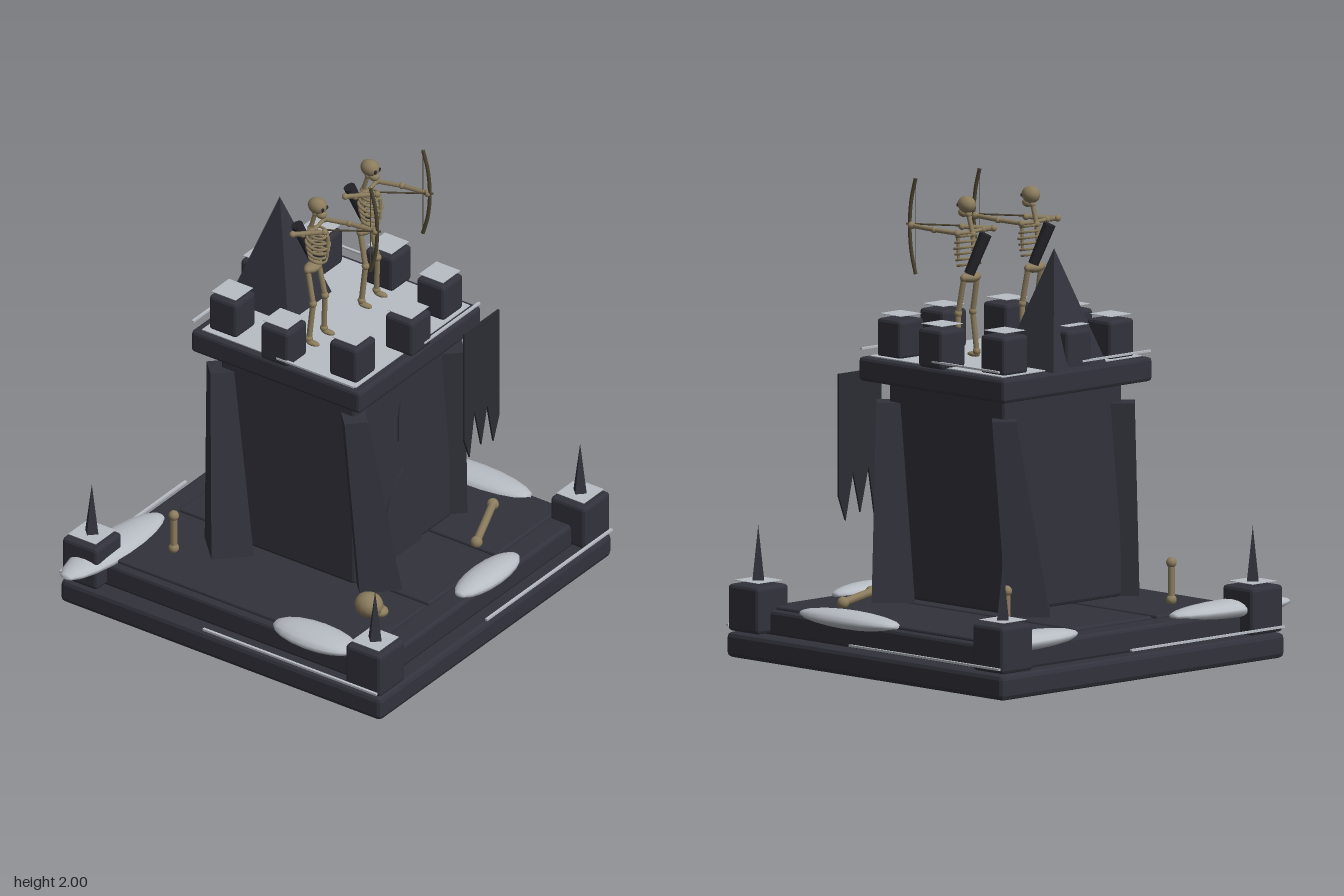
import * as THREE from 'three';
import { RoundedBoxGeometry } from 'three/addons/geometries/RoundedBoxGeometry.js';

const mat = (name, color, side = THREE.FrontSide) => {
  const m = new THREE.MeshStandardMaterial({ color, side });
  m.name = name;
  return m;
};
const V = (x, y, z) => new THREE.Vector3(x, y, z);

export function createModel() {
  const stone = mat('dark stone', 0x32323c);
  const snow = mat('snow', 0xb8bdc4);
  const bone = mat('old bone', 0x8c7d5e);
  const leather = mat('black leather', 0x24242a);
  const wood = mat('bow wood', 0x4c4530);
  const cloth = mat('banner cloth', 0x2c2c34, THREE.DoubleSide);

  const model = new THREE.Group();
  model.name = 'ruinedWatchtower';
  const keep = new THREE.Group();
  keep.name = 'keep';
  keep.position.x = 0.053;
  model.add(keep);

  const add = (parent, name, geo, material, x = 0, y = 0, z = 0) => {
    const mesh = new THREE.Mesh(geo, material);
    mesh.name = name;
    mesh.position.set(x, y, z);
    parent.add(mesh);
    return mesh;
  };
  const flat = (geo) => {
    const g = geo.index ? geo.toNonIndexed() : geo;
    g.computeVertexNormals();
    return g;
  };
  // Box with chamfered edges, standing on y0
  const block = (name, w, y0, y1, d, x = 0, z = 0, bevel = 0.014) =>
    add(keep, name, flat(new RoundedBoxGeometry(w, y1 - y0, d, 1, bevel)), stone, x, (y0 + y1) / 2, z);
  const slab = (name, w, h, d, material, x, y, z) =>
    add(keep, name, new THREE.BoxGeometry(w, h, d), material, x, y, z);
  // Straight rod between two points
  const rod = (parent, name, a, b, r0, r1, material, sides = 8) => {
    const dir = b.clone().sub(a);
    const m = add(parent, name, new THREE.CylinderGeometry(r1, r0, dir.length(), sides), material);
    m.position.copy(a).add(b).multiplyScalar(0.5);
    m.quaternion.setFromUnitVectors(V(0, 1, 0), dir.normalize());
    return m;
  };
  const ball = (parent, name, r, p, s = [1, 1, 1], material = bone) => {
    const m = add(parent, name, new THREE.SphereGeometry(r, 12, 8), material, p.x, p.y, p.z);
    m.scale.set(...s);
    return m;
  };

  // Stepped base with floor planks
  block('baseSlab', 1.625, 0, 0.105, 1.625, 0, 0, 0.02);
  block('upperSlab', 1.47, 0.1, 0.205, 1.47);
  for (const i of [-1, 0, 1]) block('floorSlab', 0.45, 0.19, 0.218, 1.27, i * 0.475, 0, 0.008);

  // Corner posts with spikes and snow caps
  for (const sx of [-1, 1]) for (const sz of [-1, 1]) {
    const x = sx * 0.718, z = sz * 0.718;
    block('cornerPost', 0.178, 0.11, 0.305, 0.178, x, z);
    add(keep, 'postSpike', flat(new THREE.ConeGeometry(0.036, 0.245, 4)), stone, x, 0.427, z);
    slab('postSnowCap', 0.14, 0.002, 0.14, snow, x, 0.32, z);
  }

  // Tower body, ledge and snowy roof deck
  block('towerBody', 0.68, 0.255, 1.15, 0.68);
  block('towerLedge', 0.855, 1.15, 1.25, 0.855);
  slab('roofSnow', 0.8, 0.004, 0.78, snow, 0, 1.254, 0);

  // Battlements
  const o = 0.305, m = 0.366;
  for (const [x, z] of [[-o, -o], [o, -o], [-o, o], [o, o], [-m, 0], [m, 0], [0, m], [0, -m]]) {
    block('merlon', 0.14, 1.25, 1.412, 0.14, x, z);
    slab('merlonSnowCap', 0.122, 0.002, 0.122, snow, x, 1.43, z);
  }

  // Square spire at the rear of the deck
  const spire = add(keep, 'spire', flat(new THREE.ConeGeometry(0.219, 0.485, 4)), stone, 0, 1.492, -0.285);
  spire.rotation.y = Math.PI / 4;

  // Leaning buttresses and snow ridges, repeated around the tower
  for (let i = 0; i < 4; i++) {
    const side = new THREE.Group();
    side.name = 'towerSide';
    side.rotation.y = i * Math.PI / 2;
    keep.add(side);
    const g = new THREE.CylinderGeometry(0.07, 0.125, 0.81, 4);
    const p = g.attributes.position;
    for (let k = 0; k < p.count; k++) {
      const t = 0.5 - p.getY(k) / 0.81;
      p.setX(k, p.getX(k) - 0.34 + 0.085 * t);
      p.setZ(k, p.getZ(k) + 0.34 + 0.055 * t);
    }
    add(side, 'buttress', flat(g), stone, 0, 0.66, 0);
    add(side, 'baseSnowRidge', new THREE.BoxGeometry(0.88, 0.009, 0.012), snow, 0.36, 0.132, 0.819);
    add(side, 'ledgeSnowRidge', new THREE.BoxGeometry(0.39, 0.008, 0.012), snow, 0.21, 1.28, 0.434);
  }

  // Pointed door and window
  const arch = (name, w, y0, spring, y1, x) => {
    const s = new THREE.Shape();
    const h = w / 2;
    s.moveTo(-h, y0);
    s.lineTo(h, y0);
    s.lineTo(h, spring);
    s.quadraticCurveTo(h * 0.85, spring + (y1 - spring) * 0.65, 0, y1);
    s.quadraticCurveTo(-h * 0.85, spring + (y1 - spring) * 0.65, -h, spring);
    add(keep, name, new THREE.ExtrudeGeometry(s, { depth: 0.009, bevelEnabled: false }), stone, x, 0, 0.338);
  };
  arch('door', 0.245, 0.255, 0.48, 0.655, 0);
  arch('window', 0.075, 0.8, 0.92, 1.005, 0);

  // Torn banner
  const rag = new THREE.Shape([[0.34, 1.188], [0.34, 0.68], [0.378, 0.58], [0.413, 0.785], [0.46, 0.6],
    [0.502, 0.77], [0.545, 0.575], [0.585, 0.68], [0.585, 1.188]].map((q) => new THREE.Vector2(...q)));
  add(model, 'banner', new THREE.ExtrudeGeometry(rag, { depth: 0.008, bevelEnabled: false }), cloth, 0, 0, 0.435);

  // Snow drifts: x, z, half length, half width, heading
  for (const [x, z, l, w, a] of [[-0.565, -0.685, 0.325, 0.095, -0.04], [0.59, -0.695, 0.27, 0.093, 0.05],
    [0.755, 0.195, 0.285, 0.085, Math.PI / 2], [0.155, 0.693, 0.205, 0.077, 0],
    [-0.65, 0.405, 0.205, 0.095, Math.PI / 2]]) {
    const g = new THREE.SphereGeometry(1, 14, 10).rotateZ(Math.PI / 2).scale(l, 0.038, w);
    add(model, 'snowDrift', g, snow, x, 0.213, z).rotation.y = a;
  }

  // Scattered bones
  const looseBone = (a, b, r) => {
    rod(model, 'looseBone', a, b, r, r, bone);
    for (const p of [a, b]) ball(model, 'boneEnd', r * 1.5, p);
  };
  looseBone(V(-0.455, 0.235, -0.455), V(-0.455, 0.39, -0.455), 0.015);
  looseBone(V(0.545, 0.235, -0.51), V(0.545, 0.39, -0.51), 0.015);
  looseBone(V(0.305, 0.24, 0.53), V(0.585, 0.24, 0.41), 0.017);
  ball(model, 'looseSkull', 0.057, V(-0.4, 0.275, 0.495), [1, 0.95, 1.1]);
  ball(model, 'looseJaw', 0.034, V(-0.375, 0.245, 0.535), [1, 0.7, 1]);

  // Skeleton archers
  const archer = (x) => {
    const g = new THREE.Group();
    g.name = 'skeletonArcher';
    g.position.x = x;
    model.add(g);
    const limb = (name, r, ...pts) => {
      pts.forEach((p, i) => {
        ball(g, name + 'Joint', r * 1.4, p);
        if (i) rod(g, name, pts[i - 1], p, r, r, bone);
      });
    };
    // head
    ball(g, 'skull', 0.036, V(0, 1.9, 0.04), [0.95, 1, 1.2]);
    ball(g, 'jaw', 0.024, V(0, 1.865, 0.06), [0.9, 0.8, 1]);
    for (const s of [-1, 1]) ball(g, 'eyeSocket', 0.009, V(s * 0.014, 1.897, 0.077), [1, 1, 0.5], leather);
    // spine, ribs and pelvis
    limb('spine', 0.01, V(0, 1.86, 0.03), V(0, 1.78, 0.005), V(0, 1.68, -0.005), V(0, 1.6, 0.015));
    for (let i = 0; i < 6; i++) {
      const rib = add(g, 'rib', new THREE.TorusGeometry(0.05, 0.006, 6, 18), bone, 0, 1.77 - i * 0.024, 0.042);
      rib.rotation.x = Math.PI / 2 + 0.2;
      const k = 1 - Math.abs(i - 2) * 0.08;
      rib.scale.set(k, k, 1);
    }
    rod(g, 'breastbone', V(0, 1.77, 0.092), V(0, 1.67, 0.09), 0.008, 0.006, bone);
    ball(g, 'pelvis', 0.045, V(0, 1.6, 0.018), [1.15, 0.5, 0.7]);
    // shoulders and arms
    limb('collarbone', 0.008, V(-0.075, 1.79, 0.02), V(0, 1.785, 0.03), V(0.075, 1.79, 0.02));
    limb('bowArm', 0.01, V(0.075, 1.79, 0.02), V(0.1, 1.795, 0.13), V(0.108, 1.8, 0.25));
    limb('drawArm', 0.01, V(-0.075, 1.79, 0.02), V(-0.105, 1.795, -0.01), V(-0.02, 1.8, 0.09));
    ball(g, 'bowHand', 0.016, V(0.108, 1.8, 0.255));
    // legs
    for (const s of [-1, 1]) {
      limb('leg', 0.012, V(s * 0.038, 1.6, 0.018), V(s * 0.042, 1.45, 0.048), V(s * 0.052, 1.285, 0.035));
      ball(g, 'foot', 0.018, V(s * 0.054, 1.27, 0.055), [0.9, 0.6, 1.9]);
    }
    // bow, string and arrow
    const curve = new THREE.CatmullRomCurve3([V(0.108, 2, 0.23), V(0.108, 1.91, 0.255),
      V(0.108, 1.8, 0.265), V(0.108, 1.69, 0.255), V(0.108, 1.6, 0.23)]);
    add(g, 'bow', new THREE.TubeGeometry(curve, 20, 0.008, 6), wood);
    rod(g, 'bowString', V(0.108, 2, 0.23), V(0.108, 1.6, 0.23), 0.002, 0.002, wood, 5);
    rod(g, 'arrow', V(-0.01, 1.805, 0.09), V(0.113, 1.805, 0.28), 0.004, 0.004, wood, 5);
    // quiver
    rod(g, 'quiver', V(0.03, 1.62, -0.005), V(-0.02, 1.785, -0.05), 0.022, 0.026, leather, 10);
  };
  archer(-0.132);
  archer(0.236);

  return model;
}
